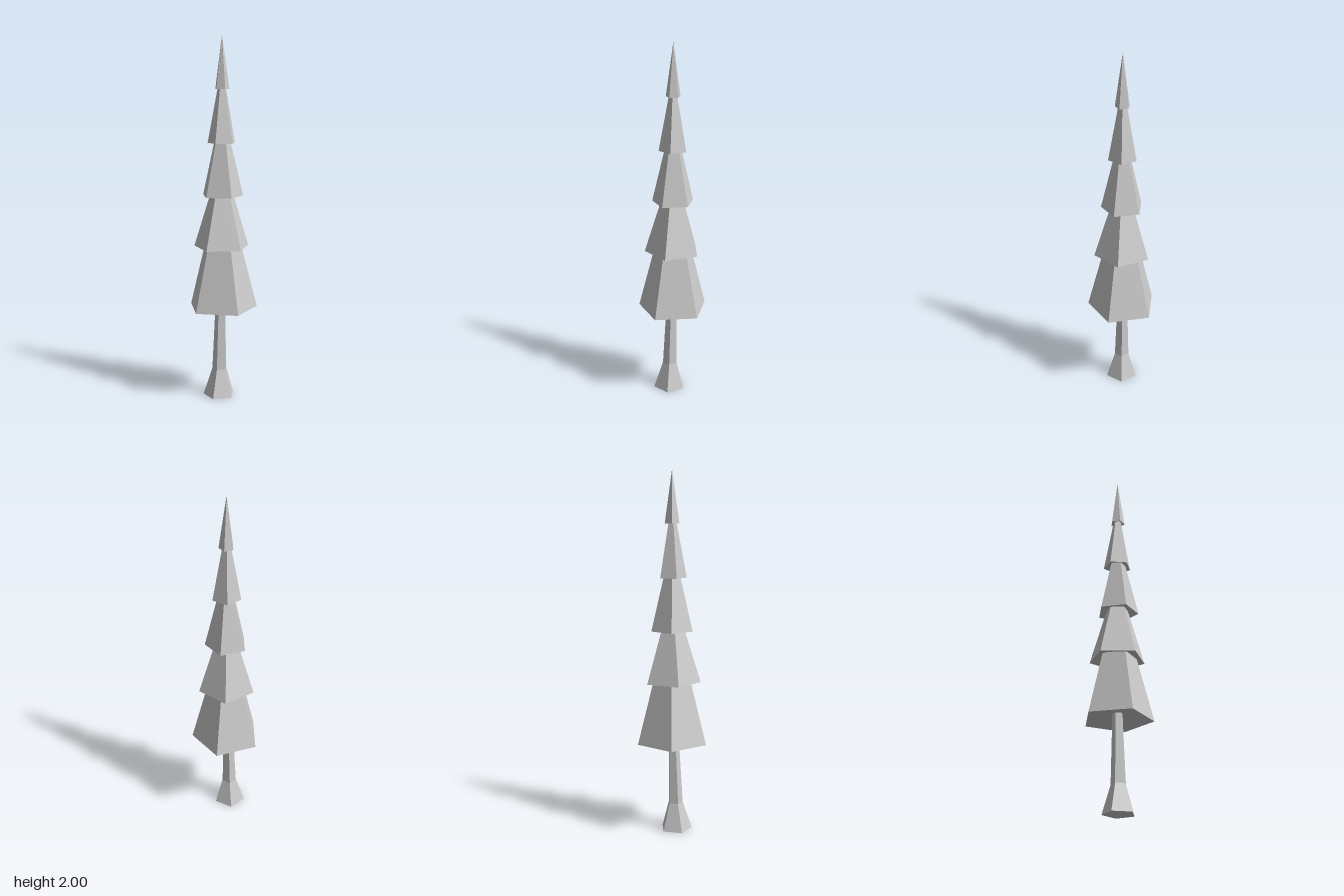
import * as THREE from 'three';

const SIDES = 5;
const material = new THREE.MeshStandardMaterial({ color: 0xcccccc, flatShading: true });

// Five-sided body from a [radius, y] profile listed bottom to top;
// angle is the first corner's direction in degrees from +x towards +z.
function facetedBody(name, profile, angle) {
  const points = profile.map(([r, y]) => new THREE.Vector2(r, y));
  const start = THREE.MathUtils.degToRad(90 - angle);
  const geometry = new THREE.LatheGeometry(points, SIDES, start);
  const mesh = new THREE.Mesh(geometry, material);
  mesh.name = name;
  return mesh;
}

// Shift each level sideways so the body leans along its height.
function lean(mesh, bottom, top, height) {
  const pos = mesh.geometry.attributes.position;
  for (let i = 0; i < pos.count; i++) {
    const t = pos.getY(i) / height;
    pos.setX(i, pos.getX(i) + THREE.MathUtils.lerp(bottom[0], top[0], t));
    pos.setZ(i, pos.getZ(i) + THREE.MathUtils.lerp(bottom[1], top[1], t));
  }
}

export function createModel() {
  const tree = new THREE.Group();
  tree.name = 'coniferTree';

  // Trunk with flared foot, leaning slightly
  const trunk = facetedBody('trunk', [[0, 0], [0.09, 0], [0.042, 0.155], [0.03, 0.505], [0.028, 0.6]], -14);
  lean(trunk, [-0.005, 0.011], [-0.01, -0.003], 0.6);
  tree.add(trunk);

  // Foliage tiers: base y, base radius, top y, top radius, corner angle, underside recess
  const tiers = [
    [0.505, 0.198, 0.9, 0.096, 9, 0.04],
    [0.85, 0.158, 1.18, 0.055, -5, 0.035],
    [1.135, 0.118, 1.46, 0.04, 9, 0.03],
    [1.425, 0.079, 1.74, 0.02, -10, 0.025],
    [1.715, 0.041, 2, 0, 10, 0.015],
  ];
  tiers.forEach(([y, r, topY, topR, angle, recess], i) => {
    const profile = [[0, y + recess], [r, y], [topR, topY]];
    if (topR > 0) profile.push([0, topY]);
    const tier = facetedBody(`foliageTier${i + 1}`, profile, angle);
    tier.position.set(-0.01, 0, -0.01);
    tree.add(tier);
  });

  return tree;
}
